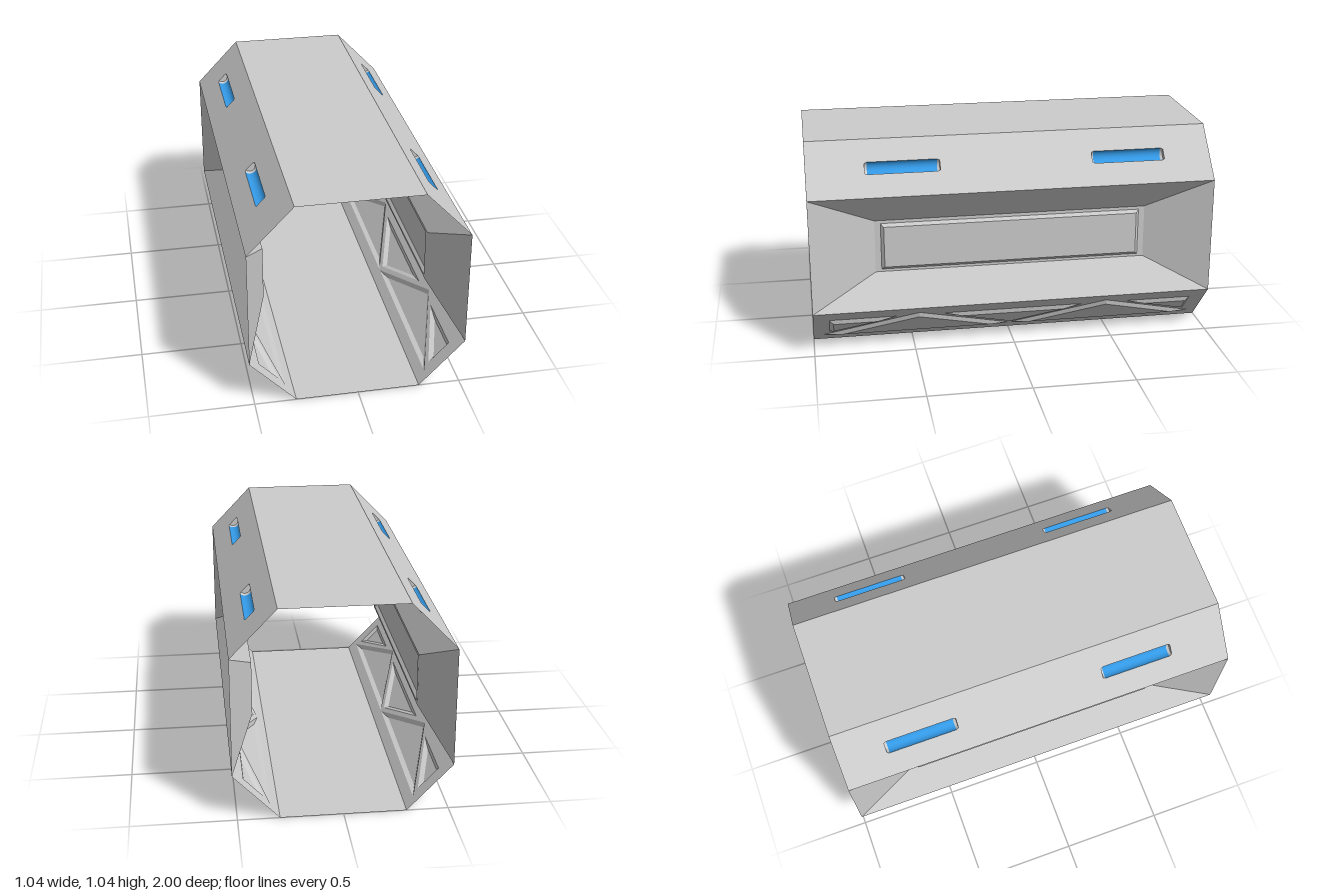
import * as THREE from 'three';

const grey = new THREE.MeshStandardMaterial({ color: 0xcccccc, flatShading: true, side: THREE.DoubleSide });
const smoothGrey = new THREE.MeshStandardMaterial({ color: 0xcccccc, side: THREE.DoubleSide });
const blue = new THREE.MeshStandardMaterial({ color: 0x3399e6, side: THREE.DoubleSide });

// Octagonal section
const HALF_W = 0.52, FLAT_W = 0.3, LOW = 0.23, HIGH = 0.815, TOP = 1.045;

function add(parent, name, geometry, material = grey) {
  const mesh = new THREE.Mesh(geometry, material);
  mesh.name = name;
  parent.add(mesh);
  return mesh;
}

// Group whose local x runs along -z, local y climbs the wall, local z points outward
function wallFrame(name, x0, y0, x1, y1) {
  const group = new THREE.Group();
  group.name = name;
  const u = new THREE.Vector3(0, 0, -1);
  const v = new THREE.Vector3(x1 - x0, y1 - y0, 0).normalize();
  const m = new THREE.Matrix4().makeBasis(u, v, u.clone().cross(v));
  group.quaternion.setFromRotationMatrix(m);
  group.position.set(x0, y0, 0);
  return group;
}

const rect = (x0, y0, x1, y1) => [[x0, y0], [x1, y0], [x1, y1], [x0, y1]];

function sheet(outline, holes = []) {
  const toPoints = (loop) => loop.map(([x, y]) => new THREE.Vector2(x, y));
  const shape = new THREE.Shape(toPoints(outline));
  holes.forEach((h) => shape.holes.push(new THREE.Path(toPoints(h))));
  return new THREE.ShapeGeometry(shape);
}

// Sloping band between two matching counter-clockwise loops
function band(a, za, b, zb) {
  const pos = [];
  a.forEach((p, i) => {
    const j = (i + 1) % a.length;
    const A = [...p, za], B = [...a[j], za], C = [...b[j], zb], D = [...b[i], zb];
    pos.push(...A, ...B, ...C, ...A, ...C, ...D);
  });
  const g = new THREE.BufferGeometry();
  g.setAttribute('position', new THREE.Float32BufferAttribute(pos, 3));
  g.computeVertexNormals();
  return g;
}

// Moves every edge of a convex counter-clockwise loop inward by d
function inset(loop, d) {
  const n = loop.length;
  return loop.map((p, i) => {
    const a = loop[(i + n - 1) % n], b = loop[(i + 1) % n];
    const e1 = new THREE.Vector2(p[0] - a[0], p[1] - a[1]).normalize();
    const e2 = new THREE.Vector2(b[0] - p[0], b[1] - p[1]).normalize();
    const k = d / (1 + e1.dot(e2));
    return [p[0] - (e1.y + e2.y) * k, p[1] + (e1.x + e2.x) * k];
  });
}

// Bevelled panel pressed outward from a wall
function pressing(parent, name, loop, bevel, depth) {
  const inner = inset(loop, bevel);
  add(parent, name + 'Bevel', band(loop, 0, inner, depth));
  add(parent, name, sheet(inner)).position.z = depth;
}

// Half-round trough sunk into the wall, with small tapered ends
const R = 0.033, R_END = 0.027, HALF_L = 0.17, HALF_END = 0.1825;
function lightTrough(parent, u, v) {
  const light = new THREE.Group();
  light.name = 'lightTrough';
  light.position.set(u, v, 0);
  const half = (r0, r1, h) =>
    new THREE.CylinderGeometry(r0, r1, h, 20, 1, true, Math.PI / 2, Math.PI).rotateZ(Math.PI / 2);
  add(light, 'troughBody', half(R, R, HALF_L * 2), blue);
  for (const s of [-1, 1]) {
    const taper = s > 0 ? half(R, R_END, HALF_END - HALF_L) : half(R_END, R, HALF_END - HALF_L);
    add(light, 'troughTaper', taper, smoothGrey).position.x = s * (HALF_L + HALF_END) / 2;
    const cap = new THREE.CircleGeometry(R_END, 20, Math.PI, Math.PI).rotateX(Math.PI / 2).rotateZ(Math.PI / 2);
    add(light, 'troughCap', cap, smoothGrey).position.x = s * HALF_END;
  }
  parent.add(light);
}

function createSide() {
  const side = new THREE.Group();
  const slope = Math.hypot(HALF_W - FLAT_W, LOW);

  // Lower slope with a zigzag row of pressed triangles
  const lower = wallFrame('lowerSlope', FLAT_W, 0, HALF_W, LOW);
  const k = slope / LOW; // height to distance along the slope
  const triangles = [[[-0.353, 0.172], [0, 0.058], [0.353, 0.172]]];
  for (const s of [-1, 1]) {
    const pair = [
      [[s * 0.95, 0.041], [s * 0.475, 0.192], [s * 0.008, 0.041]],
      [[s * 0.92, 0.172], [s * 0.92, 0.07], [s * 0.585, 0.172]],
    ];
    pair.forEach((t) => triangles.push(s < 0 ? t.reverse() : t));
  }
  const pressed = triangles.map((t) => {
    const loop = t.map(([x, y]) => [x, y * k]);
    return THREE.ShapeUtils.area(loop.map(([x, y]) => ({ x, y }))) < 0 ? loop.reverse() : loop;
  });
  add(lower, 'lowerWall', sheet(rect(-1, 0, 1, slope), pressed));
  pressed.forEach((t) => pressing(lower, 'trussTriangle', t, 0.02, 0.0145));

  // Side wall sunk toward the interior, with a raised panel
  const recess = wallFrame('sideRecess', 0.402, 0, 0.402, 1);
  const back = rect(-0.68, 0.39, 0.68, 0.658);
  const panel = rect(-0.65, 0.403, 0.65, 0.642);
  add(recess, 'recessSlopes', band(rect(-1, LOW, 1, HIGH), HALF_W - 0.402, back, 0));
  add(recess, 'recessBack', sheet(back, [panel]));
  pressing(recess, 'sidePanel', panel, 0.015, 0.015);

  // Upper slope with two light troughs
  const upper = wallFrame('upperSlope', HALF_W, HIGH, FLAT_W, TOP);
  const v = slope / 2, lights = [-0.535, 0.583];
  const slot = (u) => [
    [u - HALF_END, v - R_END], [u - HALF_L, v - R], [u + HALF_L, v - R], [u + HALF_END, v - R_END],
    [u + HALF_END, v + R_END], [u + HALF_L, v + R], [u - HALF_L, v + R], [u - HALF_END, v + R_END],
  ];
  add(upper, 'upperWall', sheet(rect(-1, 0, 1, slope), lights.map(slot)));
  lights.forEach((u) => lightTrough(upper, u, v));

  side.add(lower, recess, upper);
  return side;
}

export function createModel() {
  const model = new THREE.Group();
  model.name = 'corridorSection';

  // Floor and ceiling
  const flat = () => new THREE.PlaneGeometry(FLAT_W * 2, 2);
  add(model, 'floor', flat().rotateX(Math.PI / 2));
  add(model, 'ceiling', flat().rotateX(-Math.PI / 2)).position.y = TOP;

  // Mirrored side walls
  for (const s of [1, -1]) {
    const side = createSide();
    side.name = s > 0 ? 'leftSide' : 'rightSide';
    side.scale.x = s;
    model.add(side);
  }
  return model;
}
